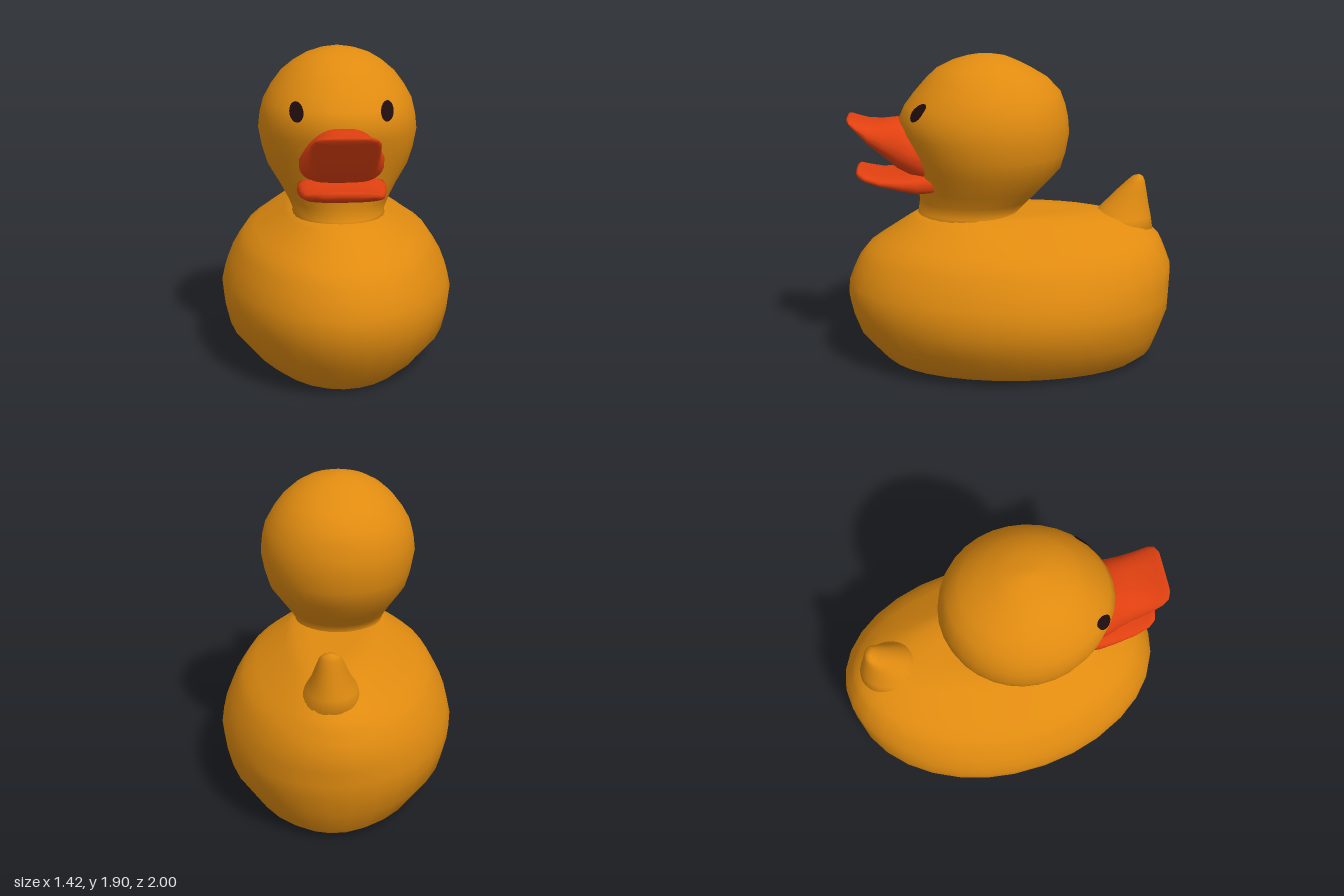
import * as THREE from 'three';

const SEG = 32;
const spow = (v, e) => Math.sign(v) * Math.abs(v) ** e;

// Closed smooth skin through a list of rings (each SEG points), capped at both ends
function loft(rings) {
  const pos = [], idx = [];
  rings.forEach(r => r.forEach(p => pos.push(...p)));
  for (let i = 0; i < rings.length - 1; i++) {
    for (let j = 0; j < SEG; j++) {
      const k = (j + 1) % SEG;
      const a = i * SEG + j, b = i * SEG + k, c = a + SEG, d = b + SEG;
      idx.push(a, b, c, b, d, c);
    }
  }
  [0, rings.length - 1].forEach(i => {
    const centre = pos.length / 3;
    const mid = [0, 1, 2].map(n => rings[i].reduce((s, p) => s + p[n], 0) / SEG);
    pos.push(...mid);
    for (let j = 0; j < SEG; j++) {
      const a = i * SEG + j, b = i * SEG + (j + 1) % SEG;
      if (i === 0) idx.push(centre, b, a); else idx.push(centre, a, b);
    }
  });
  const g = new THREE.BufferGeometry();
  g.setAttribute('position', new THREE.Float32BufferAttribute(pos, 3));
  g.setIndex(idx);
  g.computeVertexNormals();
  return g;
}

// Horizontal egg-shaped ring: height, half width, front z, back z, z of the widest point
function eggRing([y, w, front, back, mid = (front + back) / 2]) {
  return Array.from({ length: SEG }, (_, j) => {
    const t = j / SEG * Math.PI * 2, s = -Math.sin(t);
    return [w * Math.cos(t), y, mid + s * (s > 0 ? front - mid : mid - back)];
  });
}

// Upright rounded-box ring for the bill: z, half width, top y, bottom y, taper towards the top
function billRing([z, w, top, bottom, taper = 0]) {
  return Array.from({ length: SEG }, (_, j) => {
    const t = j / SEG * Math.PI * 2, s = spow(Math.sin(t), 0.7);
    return [w * spow(Math.cos(t), 0.7) * (1 - taper * Math.max(s, 0)),
      (top + bottom) / 2 + s * (top - bottom) / 2, z];
  });
}

const BODY = [
  [0.004, 0.44, 0.72, -0.79, -0.05], [0.004, 0.47, 0.75, -0.82, -0.05],
  [0.06, 0.55, 0.81, -0.89, -0.05], [0.2, 0.67, 0.93, -0.94, -0.05],
  [0.33, 0.70, 0.98, -0.985, -0.05], [0.42, 0.71, 1.0, -0.99, -0.05],
  [0.51, 0.69, 0.995, -0.995, -0.04], [0.6, 0.655, 0.96, -1.0, -0.03],
  [0.68, 0.61, 0.92, -0.97, -0.02], [0.74, 0.57, 0.87, -0.945, 0],
  [0.79, 0.50, 0.80, -0.92, 0.05], [0.85, 0.41, 0.71, -0.86, 0.1],
  [0.91, 0.32, 0.62, -0.74, 0.15], [0.945, 0.27, 0.56, -0.56, 0.2],
  [0.95, 0.18, 0.45, -0.4, 0.2],
];

const HEAD = [
  [0.88, 0.31, 0.6, -0.1, 0.22], [0.95, 0.27, 0.56, -0.05, 0.22],
  [1.02, 0.30, 0.55, -0.12, 0.2], [1.1, 0.345, 0.56, -0.2, 0.17],
  [1.22, 0.42, 0.58, -0.31, 0.14], [1.32, 0.45, 0.615, -0.34, 0.14],
  [1.43, 0.47, 0.65, -0.36, 0.14], [1.52, 0.46, 0.67, -0.353, 0.14],
  [1.6, 0.44, 0.635, -0.335, 0.14], [1.68, 0.395, 0.575, -0.305, 0.14],
  [1.76, 0.335, 0.505, -0.23, 0.14], [1.82, 0.265, 0.44, -0.13, 0.15],
  [1.865, 0.19, 0.35, -0.04, 0.15], [1.89, 0.115, 0.27, 0.02, 0.15],
  [1.905, 0.03, 0.2, 0.1, 0.15],
];

const TAIL = [
  [0.72, 0.24, -0.4, -0.9], [0.9, 0.15, -0.5, -0.873], [0.97, 0.115, -0.57, -0.858],
  [1.06, 0.085, -0.66, -0.842], [1.12, 0.065, -0.725, -0.83],
  [1.145, 0.045, -0.755, -0.82], [1.155, 0.015, -0.78, -0.805],
];

const UPPER_BILL = [
  [0.48, 0.25, 1.44, 1.16, 0.35], [0.6, 0.235, 1.5, 1.19, 0.3], [0.68, 0.21, 1.525, 1.23, 0.25],
  [0.76, 0.2, 1.515, 1.3, 0.2], [0.85, 0.195, 1.515, 1.375, 0.15],
  [0.92, 0.188, 1.53, 1.455, 0.15], [0.955, 0.17, 1.54, 1.495, 0.15], [0.972, 0.13, 1.54, 1.52],
];

const LOWER_BILL = [
  [0.46, 0.25, 1.21, 1.09], [0.56, 0.255, 1.215, 1.08], [0.65, 0.245, 1.2, 1.1],
  [0.78, 0.225, 1.195, 1.13], [0.87, 0.2, 1.215, 1.155],
  [0.91, 0.17, 1.23, 1.175], [0.925, 0.12, 1.225, 1.19],
];

// Front surface of the head at a given x and y
function headZ(x, y) {
  const i = HEAD.findIndex(r => r[0] > y), a = HEAD[i - 1], b = HEAD[i];
  const f = (y - a[0]) / (b[0] - a[0]);
  const [, w, front, , mid] = a.map((v, n) => v + (b[n] - v) * f);
  return mid + (front - mid) * Math.sqrt(1 - (x / w) ** 2);
}

// Thin oval that hugs the curve of the head
function eyeGeometry(side) {
  const g = new THREE.CircleGeometry(1, 20);
  const p = g.attributes.position;
  for (let i = 0; i < p.count; i++) {
    const x = side * 0.255 + p.getX(i) * 0.039, y = 1.595 + p.getY(i) * 0.054;
    p.setXYZ(i, x, y, headZ(x, y) + 0.008);
  }
  g.computeVertexNormals();
  return g;
}

export function createModel() {
  const group = new THREE.Group();
  const material = (name, color) => {
    const m = new THREE.MeshStandardMaterial({ color });
    m.name = name;
    return m;
  };
  const yellow = material('duckYellow', 0xe08b10);
  const red = material('billRed', 0xe04010);
  const dark = material('eyeDark', 0x200c0c);
  const add = (name, geometry, mat) => {
    const mesh = new THREE.Mesh(geometry, mat);
    mesh.name = name;
    group.add(mesh);
    return mesh;
  };

  // Body, tail, and head with neck
  add('body', loft(BODY.map(eggRing)), yellow);
  add('tail', loft(TAIL.map(eggRing)), yellow);
  add('head', loft(HEAD.map(eggRing)), yellow);

  // Open bill
  add('upperBill', loft(UPPER_BILL.map(billRing)), red);
  add('lowerBill', loft(LOWER_BILL.map(billRing)), red);

  // Eyes
  add('leftEye', eyeGeometry(1), dark);
  add('rightEye', eyeGeometry(-1), dark);

  // Squeaker hole in the base
  const hole = add('squeakerHole', new THREE.CircleGeometry(0.025, 16), dark);
  hole.rotation.x = Math.PI / 2;

  return group;
}
